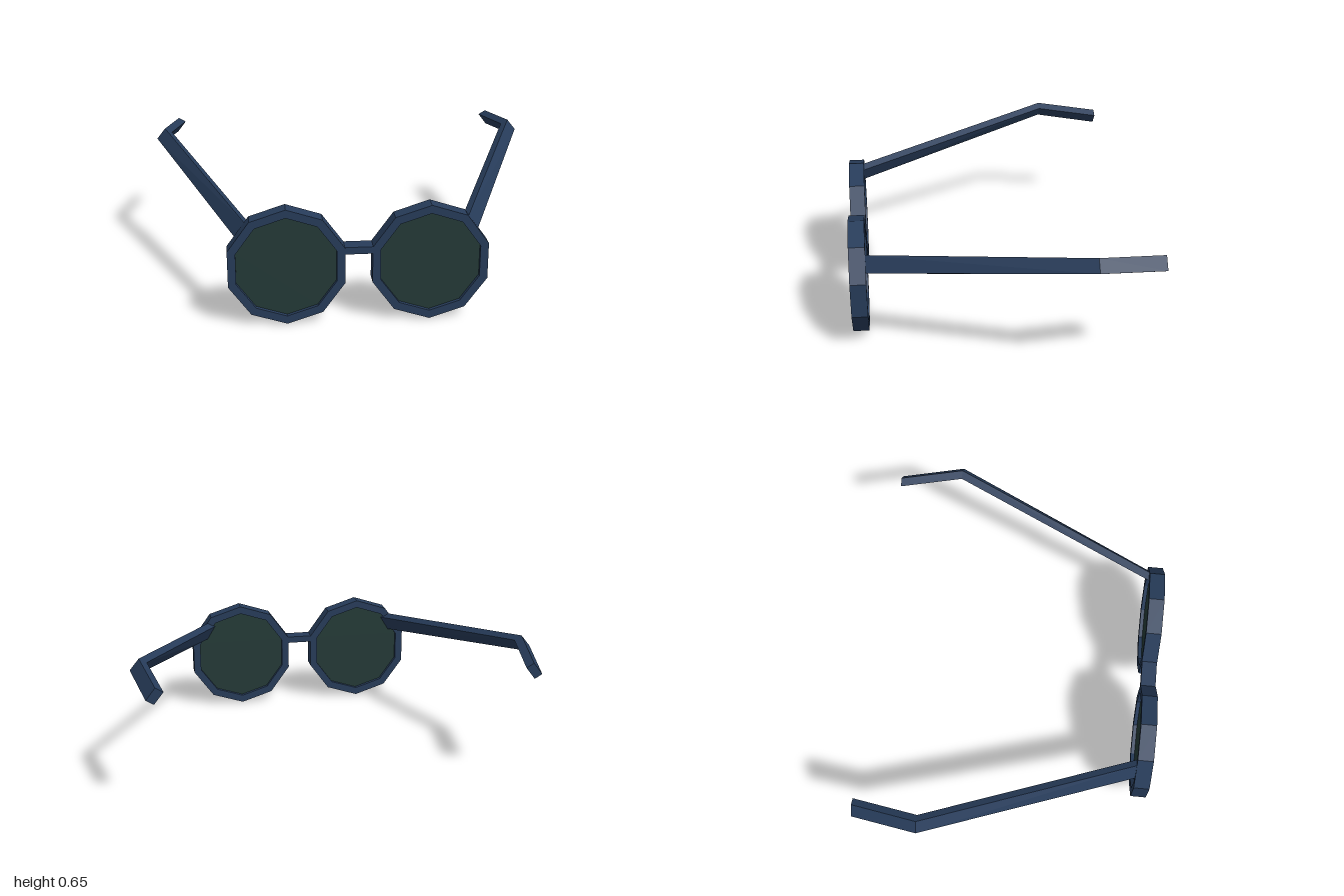
import * as THREE from 'three';

const FRONT = 0.725, BACK = 0.645, LENS_X = 0.342, LENS_Y = 0.292;

// Decagon outline with a corner pointing up
function decagon(radius, Type = THREE.Shape) {
  const points = [];
  for (let i = 0; i < 10; i++) {
    const a = Math.PI / 2 + (i * Math.PI) / 5;
    points.push(new THREE.Vector2(radius * Math.cos(a), radius * Math.sin(a)));
  }
  return new Type(points);
}

// Bar through four-cornered sections [[x, y] * 4, z], capped at both ends
function loft(sections, side) {
  const pos = [];
  const rings = sections.map(({ z, corners }) => corners.map(([x, y]) => [side * x, y, z]));
  const quad = (a, b, c, d) => {
    const order = side > 0 ? [a, b, c, a, c, d] : [a, c, b, a, d, c];
    order.forEach((p) => pos.push(...p));
  };
  for (let s = 0; s < rings.length - 1; s++) {
    for (let i = 0; i < 4; i++) {
      const j = (i + 1) % 4;
      quad(rings[s][i], rings[s][j], rings[s + 1][j], rings[s + 1][i]);
    }
  }
  const first = rings[0], last = rings[rings.length - 1];
  quad(first[3], first[2], first[1], first[0]);
  quad(...last);
  const geo = new THREE.BufferGeometry();
  geo.setAttribute('position', new THREE.Float32BufferAttribute(pos, 3));
  geo.computeVertexNormals();
  return geo;
}

export function createModel() {
  const model = new THREE.Group();
  model.name = 'sunglasses';
  const navy = new THREE.MeshStandardMaterial({ color: 0x273c5a, flatShading: true });
  navy.name = 'navy frame';
  const green = new THREE.MeshStandardMaterial({ color: 0x243a37, flatShading: true });
  green.name = 'dark green lens';

  const add = (name, geo, material, x = 0, y = 0, z = 0) => {
    const mesh = new THREE.Mesh(geo, material);
    mesh.name = name;
    mesh.position.set(x, y, z);
    model.add(mesh);
  };

  // Rim: decagonal ring; lens: slightly recessed pane
  const ring = decagon(0.291);
  ring.holes.push(decagon(0.25, THREE.Path));
  const rimGeo = new THREE.ExtrudeGeometry(ring, { depth: FRONT - BACK, bevelEnabled: false });
  const lensGeo = new THREE.ExtrudeGeometry(decagon(0.252), { depth: 0.04, bevelEnabled: false });

  // Temple arm sections from the hinge to the ear: ridge, outer, bottom, inner corner
  const section = (z, x, top, rise) => ({
    z,
    corners: [[x, top], [x - 0.037, top - 0.022], [x + 0.008, top - rise - 0.022], [x + 0.045, top - rise]],
  });
  const arm = [
    section(-0.725, 0.897, 0.62, 0.058),
    section(-0.4, 0.955, 0.655, 0.056),
    section(0.66, 0.527, 0.493, 0.075),
  ];

  for (const side of [1, -1]) {
    const label = side > 0 ? 'left' : 'right';
    add(label + 'Rim', rimGeo, navy, side * LENS_X, LENS_Y, BACK);
    add(label + 'Lens', lensGeo, green, side * LENS_X, LENS_Y, BACK + 0.02);
    add(label + 'Temple', loft(arm, side), navy);
  }

  // Bridge between the rims
  add('bridge', new THREE.BoxGeometry(0.136, 0.035, 0.078), navy, 0, 0.367, (FRONT + BACK) / 2);
  return model;
}
